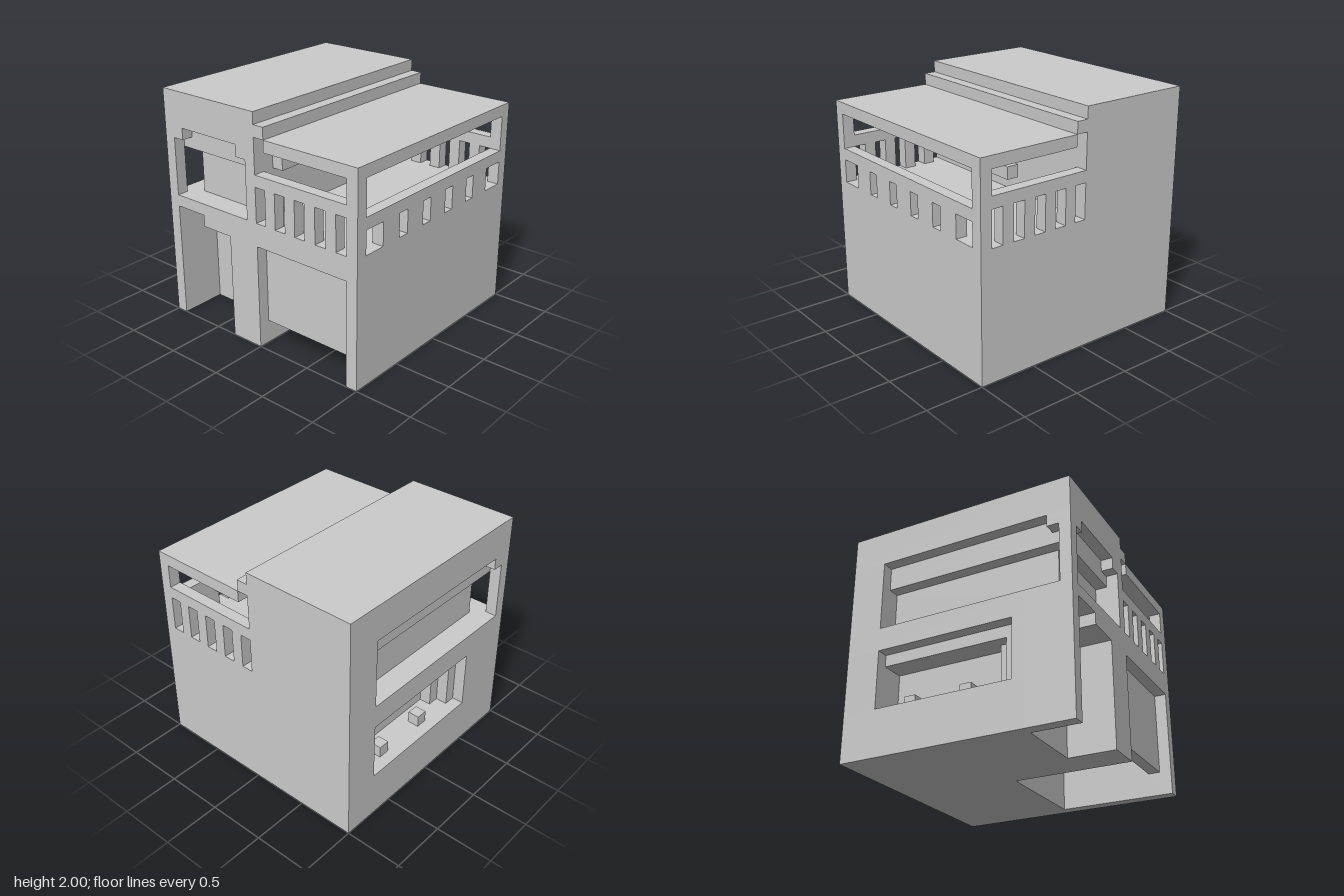
import * as THREE from 'three';

export function createModel() {
  const house = new THREE.Group();
  house.name = 'house';
  const material = new THREE.MeshStandardMaterial({ color: 0xcccccc, flatShading: true });

  const group = (name) => {
    const g = new THREE.Group();
    g.name = name;
    house.add(g);
    return g;
  };

  // Axis-aligned block given by its limits
  const block = (parent, name, x0, x1, y0, y1, z0, z1) => {
    const mesh = new THREE.Mesh(new THREE.BoxGeometry(x1 - x0, y1 - y0, z1 - z0), material);
    mesh.position.set((x0 + x1) / 2, (y0 + y1) / 2, (z0 + z1) / 2);
    mesh.name = name;
    parent.add(mesh);
  };

  // Storey slice: a floor plan of [x, z] corners raised from y0 to y1
  const slice = (parent, name, y0, y1, plan) => {
    const shape = new THREE.Shape(plan.map(([x, z]) => new THREE.Vector2(x, -z)));
    const geometry = new THREE.ExtrudeGeometry(shape, { depth: y1 - y0, bevelEnabled: false });
    geometry.rotateX(-Math.PI / 2);
    const mesh = new THREE.Mesh(geometry, material);
    mesh.position.y = y0;
    mesh.name = name;
    parent.add(mesh);
  };

  // Tall wing, ground floor: entrance wall with a stepped doorway
  const ground = group('tallWingGroundFloor');
  const doorway = new THREE.Shape([
    [-1, 0], [-0.9, 0], [-0.9, 1], [-0.6, 1], [-0.6, 0.9], [-0.3, 0.9],
    [-0.3, 0], [0, 0], [0, 1.1], [-1, 1.1],
  ].map(([x, y]) => new THREE.Vector2(x, y)));
  const entrance = new THREE.Mesh(
    new THREE.ExtrudeGeometry(doorway, { depth: 0.4, bevelEnabled: false }), material);
  entrance.position.z = 0.6;
  entrance.name = 'entranceWall';
  ground.add(entrance);
  block(ground, 'doorHandle', -0.5, -0.4, 0.3, 0.5, 0.6, 0.7);

  // Side window niche with a stepped back wall
  block(ground, 'base', -1, 0, 0, 0.4, -1, 0.6);
  slice(ground, 'nicheWalls', 0.4, 0.8, [
    [-1, -1], [0, -1], [0, 0.6], [-1, 0.6], [-1, 0.5], [-0.9, 0.5], [-0.9, 0.4],
    [-0.8, 0.4], [-0.8, 0.3], [-0.7, 0.3], [-0.7, -0.7], [-1, -0.7],
  ]);
  slice(ground, 'nicheHead', 0.8, 0.9, [
    [-1, -1], [0, -1], [0, 0.6], [-1, 0.6], [-1, 0.5], [-0.9, 0.5], [-0.9, -0.7], [-1, -0.7],
  ]);
  block(ground, 'ceiling', -1, 0, 0.9, 1.1, -1, 0.6);
  for (const z of [-0.5, 0]) block(ground, 'nicheStool', -0.9, -0.8, 0.4, 0.5, z, z + 0.1);

  // Tall wing, upper floor: balcony wrapping the front corner
  const upper = group('tallWingUpperFloor');
  slice(upper, 'balconyWalls', 1.1, 1.5, [
    [-1, -1], [0, -1], [0, 1], [-0.1, 1], [-0.1, 0.8], [-0.8, 0.8], [-0.8, -0.7], [-1, -0.7],
  ]);
  slice(upper, 'balconySoffit', 1.5, 1.6, [
    [-1, -1], [0, -1], [0, 1], [-0.1, 1], [-0.1, 0.9], [-0.9, 0.9], [-0.9, -0.7], [-1, -0.7],
  ]);
  slice(upper, 'balconyHead', 1.6, 1.7, [
    [-1, -1], [0, -1], [0, 1], [-0.2, 1], [-0.2, 0.9], [-0.8, 0.9], [-0.8, 1], [-1, 1],
    [-1, 0.8], [-0.9, 0.8], [-0.9, -0.7], [-1, -0.7],
  ]);
  block(upper, 'balconyPost', -1, -0.9, 1.1, 1.6, 0.9, 1);
  block(upper, 'tallRoof', -1, 0, 1.7, 2, -1, 1);

  // Low wing: garage with a raised door
  const garage = group('garage');
  slice(garage, 'garageWalls', 0, 0.9, [
    [0, -1], [1, -1], [1, 1], [0.9, 1], [0.9, 0], [0, 0],
  ]);
  block(garage, 'garageDoor', 0, 0.9, 0.2, 0.9, 0.8, 0.9);
  block(garage, 'terraceFloor', 0, 1, 0.9, 1.1, -1, 1);

  // Terrace front and back: balusters, rail and corner post
  const terrace = group('terrace');
  for (const z of [-1, 0.9]) {
    for (const x of [0.1, 0.3, 0.5, 0.7]) {
      block(terrace, 'baluster', x, x + 0.1, 1.1, 1.4, z, z + 0.1);
    }
    block(terrace, 'endRail', 0, 0.9, 1.4, 1.5, z, z + 0.1);
    block(terrace, 'cornerPost', 0.9, 1, 1.1, 1.7, z, z + 0.1);
  }

  // Terrace side parapet with small openings
  for (const z of [-0.6, -0.3, 0, 0.3, 0.6]) {
    block(terrace, 'parapetPier', 0.9, 1, 1.1, 1.3, z - 0.1, z + 0.1);
  }
  block(terrace, 'parapetRail', 0.9, 1, 1.3, 1.4, -0.9, 0.9);

  // Wall shelf and the lamp bar hung from the roof
  block(terrace, 'wallShelf', 0, 0.1, 1.5, 1.6, 0.5, 0.8);
  block(terrace, 'lampBar', 0.5, 0.6, 1.5, 1.6, -0.8, 0.4);
  for (const z of [-0.7, 0.2]) block(terrace, 'lampHanger', 0.5, 0.6, 1.6, 1.7, z, z + 0.1);

  // Low roof and the strip that steps up to the tall wing
  const roof = group('lowRoof');
  block(roof, 'roofSlab', 0.1, 1, 1.7, 1.8, -1, 1);
  block(roof, 'roofStep', 0, 0.1, 1.8, 1.9, -1, 1);

  return house;
}
